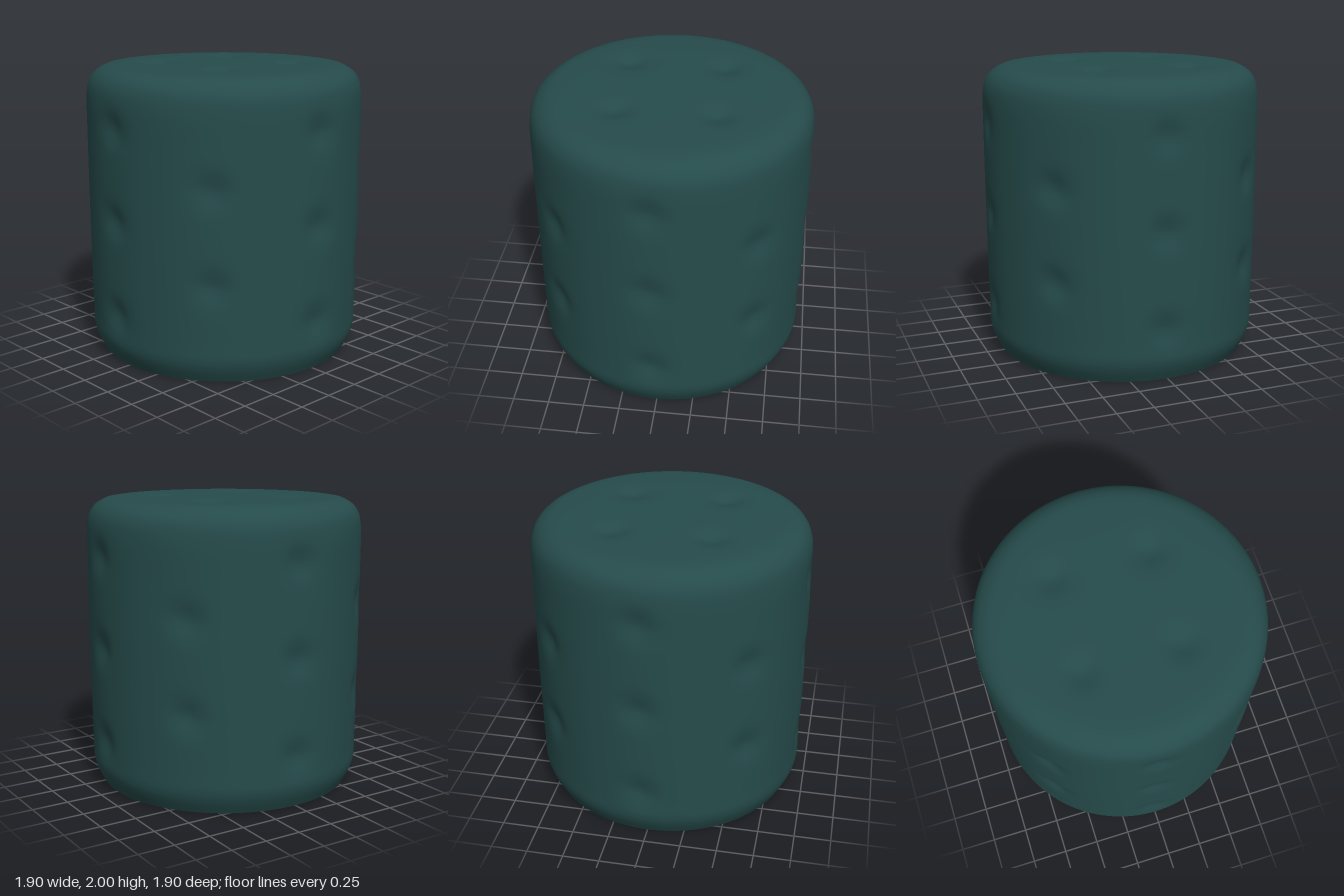
import * as THREE from 'three';
import { mergeVertices } from 'three/addons/utils/BufferGeometryUtils.js';

const V2 = (x, y) => new THREE.Vector2(x, y);
const V3 = (x, y, z) => new THREE.Vector3(x, y, z);

// Tuft centres: staggered rows round the side, four on the top
function tuftCentres() {
  const tufts = [];
  for (let i = 0; i < 8; i++) {
    const a = i * Math.PI / 4 - 0.04;
    const inward = V3(-Math.sin(a), 0, -Math.cos(a));
    for (const y of i % 2 ? [1.29, 0.66] : [1.63, 1.01, 0.36]) {
      tufts.push({ centre: inward.clone().multiplyScalar(-0.95).setY(y), inward });
    }
  }
  for (const x of [-0.33, 0.33]) for (const z of [-0.35, 0.3]) {
    tufts.push({ centre: V3(x, 2, z), inward: V3(0, -1, 0) });
  }
  return tufts;
}

export function createModel() {
  const group = new THREE.Group();
  group.name = 'pouf';
  const fabric = new THREE.MeshStandardMaterial({ color: 0x264b4b, side: THREE.DoubleSide });
  fabric.name = 'dark teal fabric';

  // Soft drum, open at the bottom
  const profile = new THREE.SplineCurve([
    V2(0.875, 0), V2(0.935, 0.13), V2(0.943, 0.3), V2(0.95, 0.9), V2(0.952, 1.5),
    V2(0.95, 1.78), V2(0.925, 1.9), V2(0.86, 1.965), V2(0.76, 1.99), V2(0.4, 1.998), V2(0, 2),
  ]).getSpacedPoints(84);
  profile[profile.length - 1].set(0, 2);
  let geometry = new THREE.LatheGeometry(profile, 128);
  geometry.deleteAttribute('uv');
  geometry.deleteAttribute('normal');
  geometry = mergeVertices(geometry, 1e-4);

  // Press a soft dimple in at every tuft
  const tufts = tuftCentres();
  const pos = geometry.attributes.position;
  const p = V3(0, 0, 0);
  for (let i = 0; i < pos.count; i++) {
    p.fromBufferAttribute(pos, i);
    const start = p.clone();
    for (const { centre, inward } of tufts) {
      const d = start.distanceTo(centre) / 0.1;
      p.addScaledVector(inward, 0.03 * Math.exp(-d * d));
    }
    pos.setXYZ(i, p.x, p.y, p.z);
  }
  geometry.computeVertexNormals();

  const cover = new THREE.Mesh(geometry, fabric);
  cover.name = 'tuftedCover';
  group.add(cover);
  return group;
}
